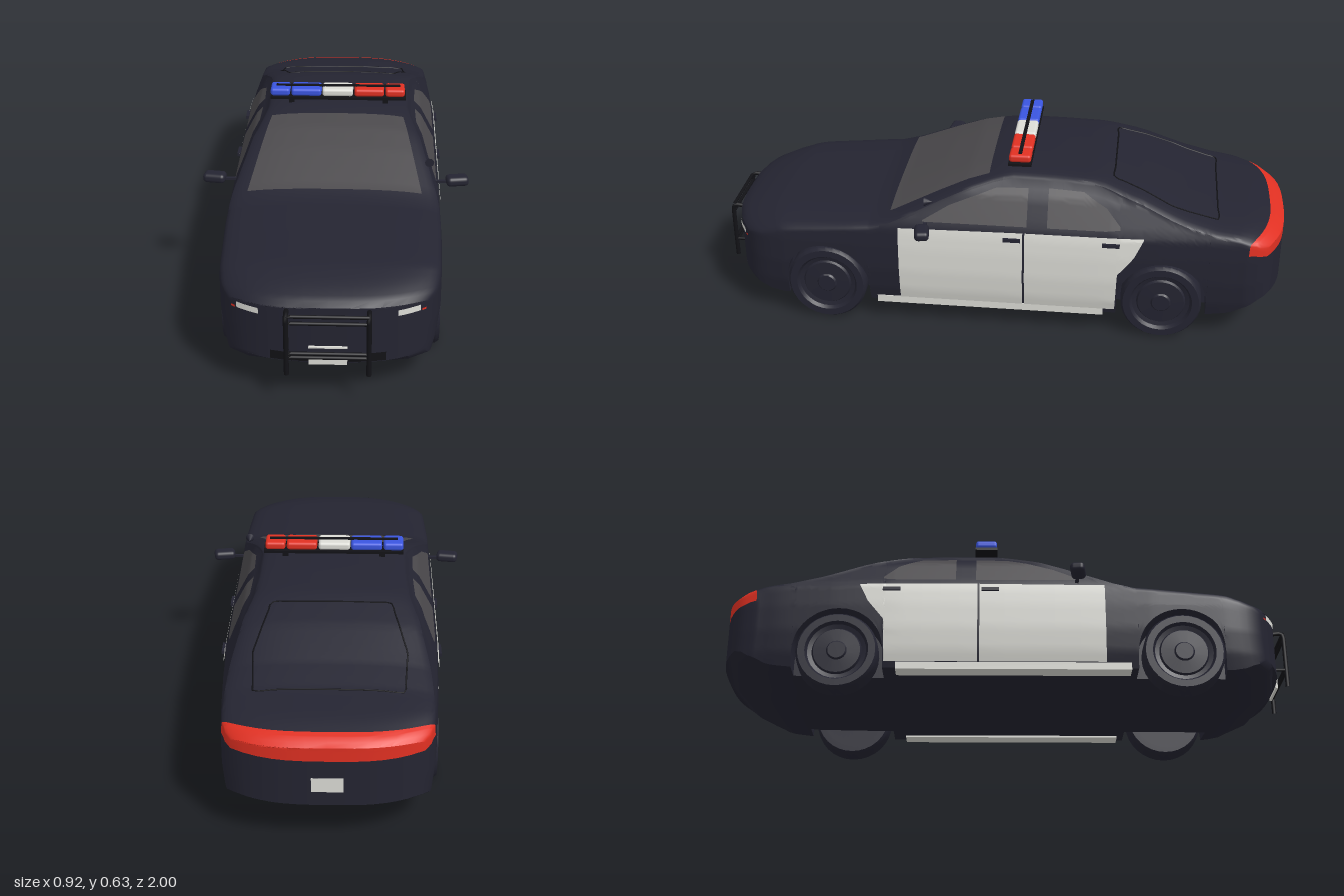
import * as THREE from 'three';
import { mergeGeometries, toCreasedNormals } from 'three/addons/utils/BufferGeometryUtils.js';
import { RoundedBoxGeometry } from 'three/addons/geometries/RoundedBoxGeometry.js';

const paint = (name, color) => {
  const m = new THREE.MeshStandardMaterial({ color });
  m.name = name;
  return m;
};

// Linear lookup in [key, value] pairs
function table(pairs, k) {
  if (k <= pairs[0][0]) return pairs[0][1];
  for (let i = 1; i < pairs.length; i++) {
    const [k0, v0] = pairs[i - 1], [k1, v1] = pairs[i];
    if (k <= k1) return v0 + (v1 - v0) * (k - k0) / (k1 - k0);
  }
  return pairs[pairs.length - 1][1];
}

// Body outlines along z
const TOP = [[-1, .37], [-.97, .39], [-.9, .41], [-.75, .43], [-.65, .46], [-.5, .52], [-.35, .565], [-.2, .573], [-.05, .575],
  [0, .567], [.1, .54], [.2, .5], [.36, .43], [.43, .41], [.6, .398], [.8, .385], [.9, .36], [.945, .34], [.96, .325]];
const FLOOR = [[-1, .16], [-.96, .13], [-.85, .1], [-.7, .085], [-.4, .08], [.8, .08], [.9, .09], [.945, .11], [.96, .13]];
const WIDTH = [[-1, .3], [-.985, .32], [-.95, .335], [-.8, .343], [-.6, .355], [-.4, .363], [.5, .363], [.8, .352],
  [.9, .345], [.94, .335], [.96, .31]];
const CROWN = [[-1, .02], [-.9, .03], [-.6, .04], [-.4, .03], [0, .03], [.37, .04], [.8, .05], [.93, .03], [.96, .02]];
const FLANK = [[.08, .93], [.14, .975], [.22, 1], [.31, 1], [.38, .985], [.41, .95], [.5, .82], [.55, .69], [.58, .6]];
const AXLES = [-.58, .6], ARCH = .155, AXLE_Y = .14, ROUND = .8;

const sideX = (y, z) => table(WIDTH, z) * table(FLANK, y);
const shoulder = z => table(TOP, z) - table(CROWN, z);
function topY(x, z) {
  const c = Math.min(1, Math.abs(x) / sideX(shoulder(z), z)) ** (1 / ROUND);
  return shoulder(z) + table(CROWN, z) * (1 - c * c) ** (ROUND / 2);
}
// Rounds the nose and tail in plan
function warp(x, z) {
  const k = (Math.abs(x) / .33) ** 3;
  return z - .1 * k * THREE.MathUtils.smoothstep(z, .7, .96) + .09 * k * THREE.MathUtils.smoothstep(-z, .75, 1);
}
function sillY(z) {
  let y = table(FLOOR, z);
  for (const a of AXLES) {
    const d = Math.abs(z - a);
    if (d < ARCH + 1e-6) y = AXLE_Y + Math.sqrt(Math.max(0, ARCH * ARCH - d * d));
  }
  return y;
}

// Surface through rows of points; it faces (column direction x row direction)
function grid(rows) {
  const n = rows[0].length, index = [];
  for (let i = 0; i < rows.length - 1; i++) for (let j = 0; j < n - 1; j++) {
    const a = i * n + j;
    index.push(a, a + 1, a + n + 1, a, a + n + 1, a + n);
  }
  const g = new THREE.BufferGeometry();
  g.setAttribute('position', new THREE.Float32BufferAttribute(rows.flat(2), 3));
  g.setIndex(index);
  return g;
}
const smooth = (...parts) => toCreasedNormals(mergeGeometries(parts), .65);
const steps = (a, b, n) => Array.from({ length: n + 1 }, (_, i) => a + (b - a) * i / n);

const SIDE_ROWS = 20, CROWN_ROWS = 10;
// Half cross-section from floor centre, around the flank, to top centre
function halfSection(z) {
  const f = table(FLOOR, z), s = sillY(z), h = shoulder(z);
  const p = [[0, f], [.25, f], [.25, s]];
  for (const y of steps(s, h, SIDE_ROWS)) p.push([sideX(y, z), y]);
  const xs = sideX(h, z);
  for (const a of steps(0, Math.PI / 2, CROWN_ROWS).slice(1)) {
    p.push([xs * Math.max(0, Math.cos(a)) ** ROUND, h + table(CROWN, z) * Math.sin(a) ** ROUND]);
  }
  return p;
}

export function createModel() {
  const car = new THREE.Group();
  car.name = 'patrolCar';
  const dark = paint('midnight paint', 0x242431), black = paint('black trim', 0x121216);
  const white = paint('white paint', 0xdcdcd6), glass = paint('tinted glass', 0x4a484b);
  const red = paint('red lens', 0xe03022), blue = paint('blue lens', 0x3a55df);
  const add = (name, geometry, material, x = 0, y = 0, z = 0) => {
    const m = new THREE.Mesh(geometry, material);
    m.name = name;
    m.position.set(x, y, z);
    car.add(m);
    return m;
  };
  const box = (name, w, h, d, mat, x, y, z) => add(name, new THREE.BoxGeometry(w, h, d), mat, x, y, z);

  // Body shell, with the tail light band cut from the same surface
  const stations = [...steps(-1, .96, 56), -.985, -.97, -.95, .945];
  for (const a of AXLES) {
    for (const t of steps(0, Math.PI, 18)) stations.push(a + ARCH * Math.cos(t));
    stations.push(a - ARCH - .0005, a + ARCH + .0005);
  }
  stations.sort((a, b) => a - b);
  const rings = stations.map(z => {
    const h = halfSection(z);
    const ring = [...h, ...h.slice(0, -1).reverse().map(([x, y]) => [-x, y])];
    return ring.map(([x, y]) => [x, y, warp(x, z)]);
  });
  const cap = (z, dir) => halfSection(z).map(([x, y]) => steps(-x * dir, x * dir, 14).map(v => [v, y, warp(v, z)]));
  const K = stations.findIndex(z => z > -.951), J = 3 + SIDE_ROWS - 3, M = rings[0].length;
  const tail = rings.slice(0, K + 1), tailCap = cap(-1, -1);
  add('body', smooth(
    grid(rings.slice(K)), grid(tail.map(r => r.slice(0, J + 1))), grid(tail.map(r => r.slice(M - 1 - J))),
    grid(tailCap.slice(0, J + 1)), grid(cap(.96, 1))), dark);
  add('tailLightBand', smooth(grid(tail.map(r => r.slice(J, M - J))), grid(tailCap.slice(J))), red);

  // Thin panels laid on the flanks: columns of [z, low y, high y]
  function sidePanel(name, cols, mat, off = .005) {
    const zs = cols.slice(1).flatMap((c, i) => steps(cols[i][0], c[0], 5).slice(i ? 1 : 0));
    for (const s of [1, -1]) {
      const rows = zs.map(z => steps(table(cols.map(c => [c[0], c[1]]), z), table(cols.map(c => [c[0], c[2]]), z), 14)
        .map(y => [s * (sideX(y, z) + off), y, z]));
      add(name, smooth(grid(s > 0 ? rows : rows.reverse())), mat);
    }
  }
  sidePanel('frontDoor', [[-.097, .1, .39], [.335, .1, .385]], white);
  sidePanel('rearDoor', [[-.51, .385, .39], [-.48, .32, .39], [-.425, .25, .39], [-.42, .1, .39], [-.104, .1, .39]], white);
  sidePanel('frontSideWindow', [[-.11, .41, .525], [.0, .41, .522], [.08, .41, .495], [.16, .41, .465], [.25, .41, .415]], glass);
  sidePanel('rearSideWindow', [[-.43, .415, .425], [-.38, .41, .48], [-.3, .41, .522], [-.18, .41, .527]], glass);
  for (const s of [1, -1]) {
    box('sill', .055, .026, .8, white, s * .318, .086, .02);
    for (const z of [-.06, -.4]) box('doorHandle', .012, .012, .06, dark, s * .366, .365, z);
  }

  // Windscreen follows the sloping top surface
  const screen = steps(-1, 1, 20).map(s => steps(.03, .37, 20).map(z => {
    const x = s * table([[.03, .235], [.37, .297]], z);
    return [x, topY(x, z) + .005, z];
  }));
  add('windscreen', smooth(grid(screen)), glass);

  // Rear screen seam
  const corners = [[-.2, -.4], [.2, -.4], [.25, -.6], [.24, -.76], [-.24, -.76], [-.25, -.6]];
  const seam = corners.flatMap(([x, z], i) => {
    const [x1, z1] = corners[(i + 1) % corners.length];
    return steps(0, 1, 6).slice(0, 6).map(t => {
      const px = x + (x1 - x) * t, pz = z + (z1 - z) * t;
      return new THREE.Vector3(px, topY(px, pz), pz);
    });
  });
  add('rearScreenSeam', new THREE.TubeGeometry(new THREE.CatmullRomCurve3(seam, true), 80, .003, 5, true), black);

  // Thin plates on the curved nose
  const nosePanel = (name, x0, x1, y0, y1, mat) => add(name, smooth(grid(
    [y0, y1].map(y => steps(x0, x1, 10).map(x => [x, y, warp(x, .96) + .005])))), mat);
  for (const s of [1, -1]) {
    const span = (a, b) => s > 0 ? [a, b] : [-b, -a];
    nosePanel('headlight', ...span(.215, .285), .288, .308, white);
    nosePanel('sideMarker', ...span(.29, .302), .286, .293, red);
  }
  nosePanel('lowerIntake', -.18, .18, .135, .165, black);
  box('frontPlate', .12, .038, .008, white, 0, .148, .968);
  box('frontPlateStrip', .12, .005, .008, white, 0, .187, .964);
  box('rearPlate', .1, .05, .008, white, 0, .235, -.998);

  // Push bar
  const rod = (name, pts, r) => add(name, new THREE.TubeGeometry(
    new THREE.CatmullRomCurve3(pts.map(p => new THREE.Vector3(...p)), false, 'catmullrom', .1), 16, r, 8), black);
  for (const s of [1, -1]) {
    rod('pushBarPost', [[s * .127, .31, .945], [s * .127, .314, .985], [s * .127, .295, .992], [s * .127, .105, .992]], .008);
    rod('pushBarBrace', [[s * .127, .17, .94], [s * .127, .17, .992]], .006);
  }
  for (const y of [.312, .288, .18, .166]) rod('pushBarRail', [[-.127, y, .99], [.127, y, .99]], .006);

  // Wheels: tyre, recessed rim and hub turned from one profile
  const profile = [[0, -.04], [.11, -.042], [.132, -.042], [.14, -.03], [.14, .03], [.132, .042], [.108, .042],
    [.1, .03], [.085, .026], [.08, .034], [.035, .036], [.03, .042], [0, .042]].map(p => new THREE.Vector2(...p));
  const wheel = toCreasedNormals(new THREE.LatheGeometry(profile, 32), .6);
  for (const z of AXLES) for (const s of [1, -1]) {
    add('wheel', wheel, dark, s * .312, .14, z).rotation.z = -s * Math.PI / 2;
  }

  // Door mirrors
  for (const s of [1, -1]) {
    const m = add('mirror', new RoundedBoxGeometry(.078, .034, .05, 3, .014), dark, s * .422, .408, .24);
    m.rotation.y = s * .15;
    box('mirrorStalk', .06, .008, .012, dark, s * .37, .402, .24);
  }
  // Spotlight on the left windscreen pillar
  const spot = add('spotlight', new THREE.ConeGeometry(.016, .03, 12), dark, .325, .475, .23);
  spot.rotation.x = -Math.PI / 2;

  // Roof light bar
  const barZ = -.075;
  box('lightBarBase', .49, .009, .08, black, 0, .592, barZ);
  for (const s of [1, -1]) box('lightBarFoot', .02, .04, .05, black, s * .17, .572, barZ);
  for (const [x0, x1, mat] of [[-.245, -.175, blue], [-.17, -.061, blue], [-.058, .053, white], [.058, .165, red], [.17, .24, red]]) {
    add('lightBarLens', new RoundedBoxGeometry(x1 - x0, .028, .076, 3, .01), mat, (x0 + x1) / 2, .612, barZ);
  }
  box('lightBarSpine', .45, .005, .012, black, 0, .628, barZ);
  return car;
}
